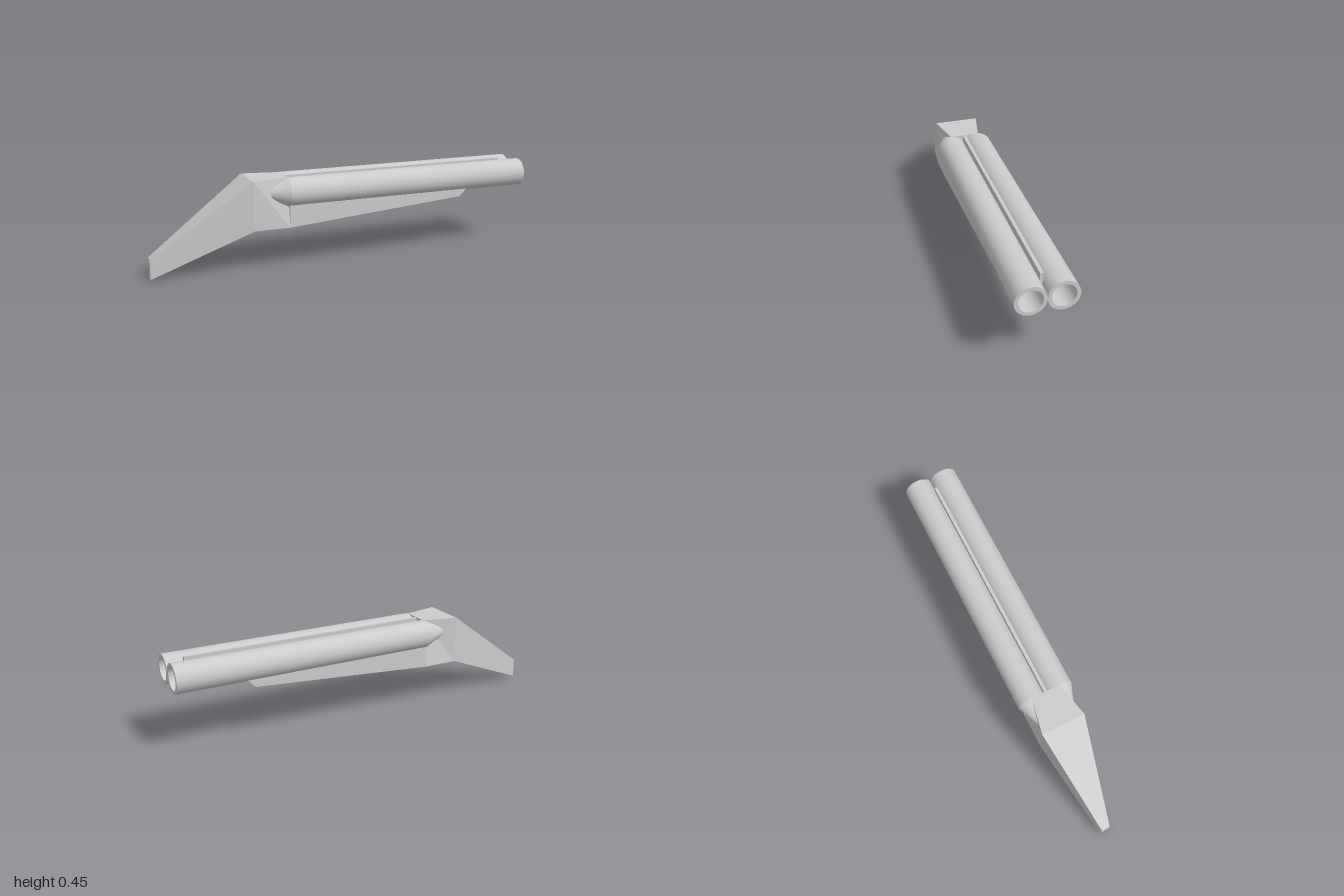
import * as THREE from 'three';

const material = new THREE.MeshStandardMaterial({ color: 0xcccccc, flatShading: true });
const smooth = new THREE.MeshStandardMaterial({ color: 0xcccccc });

// Closed flat-sided solid through sections [xBottom, xTop, yBottom, yTop, halfBottom, halfTop], ordered along +x
function loft(sections) {
  const positions = [];
  const rings = sections.map(([xb, xt, yb, yt, hb, ht]) => [
    [xb, yb, hb], [xb, yb, -hb], [xt, yt, -ht], [xt, yt, ht],
  ]);
  const quad = (a, b, c, d) => positions.push(...a, ...b, ...c, ...a, ...c, ...d);
  for (let i = 0; i + 1 < rings.length; i++) {
    const p = rings[i], q = rings[i + 1];
    for (let j = 0; j < 4; j++) {
      const k = (j + 1) % 4;
      quad(p[j], p[k], q[k], q[j]);
    }
  }
  const first = rings[0], last = rings[rings.length - 1];
  quad(first[3], first[2], first[1], first[0]);
  quad(last[0], last[1], last[2], last[3]);
  const geometry = new THREE.BufferGeometry();
  geometry.setAttribute('position', new THREE.Float32BufferAttribute(positions, 3));
  geometry.computeVertexNormals();
  return geometry;
}

// Each profile stretch is its own lathe, so the rims stay sharp
function barrel(name, z) {
  const group = new THREE.Group();
  group.name = name;
  const profile = [
    [0, -0.51], [0.072, -0.33], [0.072, 1], [0.055, 1], [0.055, -0.33], [0, -0.33],
  ].map(([r, x]) => new THREE.Vector2(r, x));
  const parts = ['breechCone', 'tube', 'muzzleRim', 'bore', 'boreEnd'];
  parts.forEach((part, i) => {
    const mesh = new THREE.Mesh(new THREE.LatheGeometry([profile[i], profile[i + 1]], 48), smooth);
    mesh.name = part;
    group.add(mesh);
  });
  group.rotation.z = -Math.PI / 2;
  group.position.set(0, 0.378, z);
  return group;
}

export function createModel() {
  const model = new THREE.Group();
  const add = (name, geometry) => {
    const mesh = new THREE.Mesh(geometry, material);
    mesh.name = name;
    model.add(mesh);
    return mesh;
  };

  // Tapered stock running into the receiver, whose top narrows toward the barrels
  add('stockAndReceiver', loft([
    [-1, -1, 0, 0.1, 0.022, 0.022],
    [-0.51, -0.51, 0.208, 0.45, 0.112, 0.112],
    [-0.33, -0.33, 0.208, 0.45, 0.112, 0.075],
  ]));

  // Wedge-shaped fore-end with a slanted nose
  add('foreEnd', loft([
    [-0.33, -0.33, 0.208, 0.32, 0.112, 0.112],
    [0.62, 0.66, 0.28, 0.32, 0.112, 0.112],
  ]));

  // Twin barrels and the rib between them
  model.add(barrel('leftBarrel', -0.072), barrel('rightBarrel', 0.072));
  add('rib', new THREE.BoxGeometry(1.27, 0.138, 0.016)).position.set(0.285, 0.379, 0);

  return model;
}
